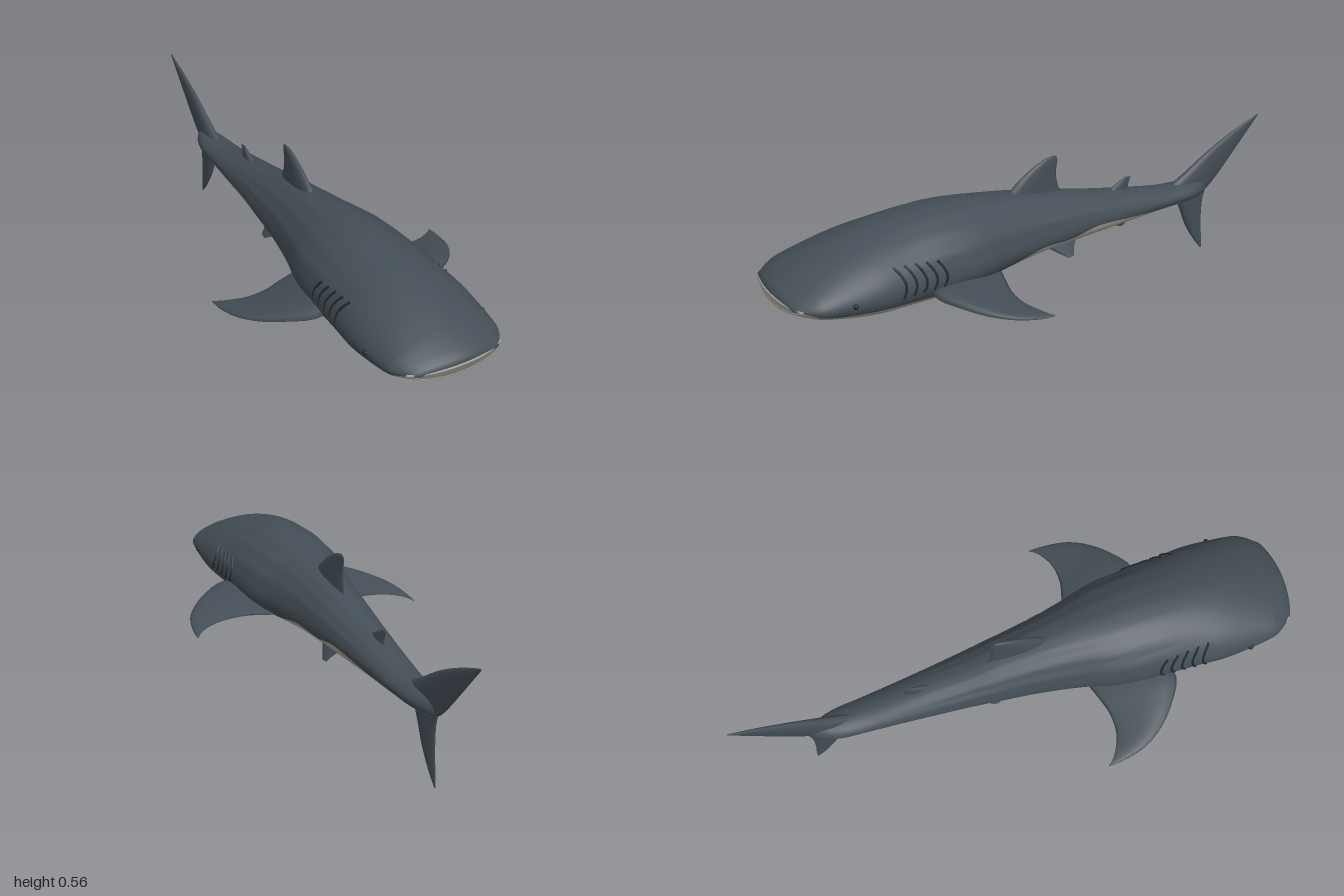
import * as THREE from 'three';

const mat = (name, color, side = THREE.FrontSide) =>
  Object.assign(new THREE.MeshStandardMaterial({ color, side }), { name });

// Body stations: z, half width, top, bottom, height of widest point, height of colour border
const STATIONS = [
  [-0.75, 0.008, 0.29, 0.24, 0.265, 0.242],
  [-0.71, 0.035, 0.305, 0.236, 0.27, 0.245],
  [-0.65, 0.054, 0.308, 0.235, 0.272, 0.25],
  [-0.55, 0.063, 0.315, 0.234, 0.277, 0.253],
  [-0.4, 0.076, 0.345, 0.23, 0.287, 0.265],
  [-0.2, 0.096, 0.388, 0.225, 0.3, 0.288],
  [-0.08, 0.11, 0.42, 0.225, 0.303, 0.272],
  [0.05, 0.127, 0.448, 0.223, 0.306, 0.282],
  [0.2, 0.155, 0.475, 0.21, 0.31, 0.25],
  [0.32, 0.188, 0.49, 0.203, 0.315, 0.245],
  [0.45, 0.203, 0.498, 0.198, 0.32, 0.262],
  [0.6, 0.212, 0.488, 0.205, 0.325, 0.275],
  [0.7, 0.22, 0.474, 0.214, 0.328, 0.287],
  [0.8, 0.215, 0.45, 0.235, 0.33, 0.298],
  [0.9, 0.203, 0.415, 0.268, 0.333, 0.314],
  [0.96, 0.185, 0.388, 0.292, 0.335, 0.328],
  [0.988, 0.164, 0.371, 0.307, 0.335, 0.335],
  [1.0, 0.15, 0.358, 0.315, 0.335, 0.337],
];

// Smooth interpolation between the stations
function station(z) {
  const S = STATIONS, n = S.length;
  let i = 0;
  while (i < n - 2 && z > S[i + 1][0]) i++;
  const a = S[i], b = S[i + 1], p = S[Math.max(i - 1, 0)], q = S[Math.min(i + 2, n - 1)];
  const h = b[0] - a[0], t = (z - a[0]) / h;
  return a.map((v, c) => {
    if (c === 0) return z;
    const m0 = (b[c] - p[c]) / (b[0] - p[0]) * h, m1 = (q[c] - v) / (q[0] - a[0]) * h;
    return v * (1 + 2 * t) * (1 - t) ** 2 + m0 * t * (1 - t) ** 2 + b[c] * t * t * (3 - 2 * t) + m1 * t * t * (t - 1);
  });
}

const spow = (v, e) => Math.sign(v) * Math.abs(v) ** e;

// Point on the skin at an angle around the section, with soft ridges along the back
function skin([z, hw, top, bot, mid], angle) {
  const c = Math.cos(angle), s = Math.sin(angle), e = s > 0 ? 2 / 1.8 : 1;
  const fold = Math.asin(Math.min(1, Math.max(-1, s)));
  const fade = THREE.MathUtils.smoothstep(z, -0.6, -0.1) * (1 - THREE.MathUtils.smoothstep(z, 0.35, 0.7));
  let bump = 1;
  for (const r of [0.5, 0.85, 1.2]) bump += 0.035 * fade * Math.exp(-(((fold - r) / 0.08) ** 2));
  const x = hw * spow(c, e) * bump;
  const y = mid + (s > 0 ? top - mid : mid - bot) * spow(s, e) * (s > 0 ? 1 + (bump - 1) * 0.6 : 1);
  return new THREE.Vector3(x, y, z - 1.1 * x * x * THREE.MathUtils.smoothstep(z, 0.88, 1));
}

// Closed rings joined into a skin; columns before and after split form two groups
function loft(rings, split) {
  const n = rings[0].length, pos = [], idx = [];
  rings.forEach(r => r.forEach(p => pos.push(p.x, p.y, p.z)));
  for (let k = 0; k < n; k++) {
    for (let i = 0; i < rings.length - 1; i++) {
      const a = i * n + k, b = i * n + (k + 1) % n;
      idx.push(a, b, a + n, b, b + n, a + n);
    }
  }
  // Turn the faces outward
  const mean = new THREE.Vector3();
  rings.flat().forEach(p => mean.add(p));
  mean.divideScalar(rings.length * n);
  const at = i => new THREE.Vector3().fromArray(pos, i * 3).sub(mean);
  let volume = 0;
  for (let i = 0; i < idx.length; i += 3) volume += at(idx[i]).dot(at(idx[i + 1]).cross(at(idx[i + 2])));
  if (volume < 0) for (let i = 0; i < idx.length; i += 3) [idx[i], idx[i + 1]] = [idx[i + 1], idx[i]];
  const g = new THREE.BufferGeometry();
  g.setAttribute('position', new THREE.Float32BufferAttribute(pos, 3));
  g.setIndex(idx);
  if (split) {
    const cut = split * (rings.length - 1) * 6;
    g.addGroup(0, cut, 0);
    g.addGroup(cut, idx.length - cut, 1);
  }
  g.computeVertexNormals();
  return g;
}

// Fin from sections [leading point, trailing point, thickness], thickened along an axis
function fin(sections, axis, side = 1) {
  const v = a => new THREE.Vector3(a[0] * side, a[1], a[2]);
  const lead = new THREE.CatmullRomCurve3(sections.map(s => v(s[0])));
  const trail = new THREE.CatmullRomCurve3(sections.map(s => v(s[1])));
  const n = v(axis).normalize(), steps = 18, around = 16, rings = [];
  for (let i = 0; i <= steps; i++) {
    const t = i / steps, f = t * (sections.length - 1), j = Math.min(Math.floor(f), sections.length - 2);
    const thick = THREE.MathUtils.lerp(sections[j][2], sections[j + 1][2], f - j);
    const a = lead.getPoint(t), b = trail.getPoint(t), ring = [];
    for (let k = 0; k < around; k++) {
      const phi = k / around * Math.PI * 2, u = (1 - Math.cos(phi)) / 2;
      ring.push(a.clone().lerp(b, u).addScaledVector(n, thick * Math.sin(phi) * (0.75 - 0.5 * u)));
    }
    rings.push(ring);
  }
  return loft(rings, around / 2);
}

export function createModel() {
  const model = new THREE.Group();
  const back = mat('slate back', 0x444e56);
  const belly = mat('pale belly', 0xa6a396);
  const under = mat('fin underside', 0x5b5d5b);
  const slit = mat('dark slit', 0x23292e);
  const inside = mat('mouth interior', 0x6a6862, THREE.DoubleSide);
  const add = (name, geometry, material) => {
    const m = new THREE.Mesh(geometry, material);
    m.name = name;
    model.add(m);
    return m;
  };

  // Body with dark back and pale belly, ending in a lip ring
  const D = 44, L = 24, rings = [];
  const ringOf = s => {
    const f = (s[5] - s[4]) / (s[5] > s[4] ? s[2] - s[4] : s[4] - s[3]);
    const t = Math.asin(Math.max(-1, Math.min(1, spow(f, f > 0 ? 0.9 : 1))));
    const ring = [];
    for (let k = 0; k < D; k++) ring.push(skin(s, t + (Math.PI - 2 * t) * k / D));
    for (let k = 0; k < L; k++) ring.push(skin(s, Math.PI - t + (Math.PI + 2 * t) * k / L));
    return ring;
  };
  for (let i = 0; i <= 72; i++) rings.push(ringOf(station(-0.75 + 1.65 * i / 72)));
  for (let i = 1; i <= 12; i++) rings.push(ringOf(station(0.9 + 0.1 * i / 12)));
  const lip = [0.998, 0.142, 0.345, 0.32, 0.333, 0.335];
  rings.push(ringOf(lip));
  add('body', loft(rings, D), [back, belly]);

  // Wide mouth pocket and pale upper lip
  const pocket = [lip, [0.95, 0.13, 0.346, 0.318, 0.333, 0.335], [0.88, 0.1, 0.342, 0.323, 0.333, 0.335],
    [0.86, 0.002, 0.334, 0.332, 0.333, 0.333]].map(ringOf);
  add('mouth', loft(pocket), inside);
  const lipPath = [];
  for (let i = -8; i <= 8; i++) {
    const x = i / 8 * 0.17;
    lipPath.push(new THREE.Vector3(x, 0.346 - 0.3 * x * x, 0.999 - 1.1 * x * x - 25 * x ** 4 * 0.6));
  }
  add('upperLip', new THREE.TubeGeometry(new THREE.CatmullRomCurve3(lipPath), 40, 0.004, 6), belly);

  // Tail fin lobes
  const X = [1, 0, 0];
  add('upperTailLobe', fin([
    [[0, 0.29, -0.56], [0, 0.235, -0.735], 0.04],
    [[0, 0.335, -0.645], [0, 0.262, -0.778], 0.036],
    [[0, 0.41, -0.77], [0, 0.318, -0.835], 0.024],
    [[0, 0.468, -0.895], [0, 0.41, -0.918], 0.014],
    [[0, 0.505, -0.995], [0, 0.502, -1], 0.003]], X), back);
  add('lowerTailLobe', fin([
    [[0, 0.27, -0.6], [0, 0.275, -0.77], 0.036],
    [[0, 0.21, -0.635], [0, 0.215, -0.75], 0.034],
    [[0, 0.12, -0.672], [0, 0.12, -0.748], 0.024],
    [[0, 0.045, -0.718], [0, 0.045, -0.755], 0.014],
    [[0, 0.001, -0.752], [0, 0, -0.758], 0.003]], X), back);

  // Fins on the midline
  add('dorsalFin', fin([
    [[0, 0.43, 0.14], [0, 0.39, -0.11], 0.04],
    [[0, 0.475, 0.095], [0, 0.435, -0.09], 0.032],
    [[0, 0.52, 0.03], [0, 0.49, -0.08], 0.022],
    [[0, 0.55, -0.035], [0, 0.535, -0.086], 0.012],
    [[0, 0.556, -0.07], [0, 0.552, -0.083], 0.003]], X), back);
  add('secondDorsalFin', fin([
    [[0, 0.345, -0.28], [0, 0.325, -0.405], 0.024],
    [[0, 0.375, -0.34], [0, 0.36, -0.395], 0.016],
    [[0, 0.397, -0.38], [0, 0.393, -0.405], 0.004]], X), back);
  add('analFin', fin([
    [[0, 0.25, -0.29], [0, 0.245, -0.4], 0.024],
    [[0, 0.222, -0.325], [0, 0.222, -0.39], 0.016],
    [[0, 0.2, -0.362], [0, 0.203, -0.385], 0.004]], X), back);

  for (const side of [1, -1]) {
    const label = side > 0 ? 'left' : 'right';
    // Swept pectoral fin
    add(label + 'PectoralFin', fin([
      [[0.12, 0.285, 0.5], [0.12, 0.25, 0.22], 0.05],
      [[0.22, 0.287, 0.525], [0.21, 0.252, 0.25], 0.044],
      [[0.3, 0.275, 0.48], [0.27, 0.247, 0.265], 0.034],
      [[0.365, 0.258, 0.42], [0.335, 0.241, 0.262], 0.024],
      [[0.412, 0.242, 0.345], [0.385, 0.235, 0.242], 0.015],
      [[0.431, 0.226, 0.26], [0.42, 0.226, 0.216], 0.008],
      [[0.434, 0.22, 0.205], [0.432, 0.22, 0.2], 0.002]], [0, 1, 0], side), [back, under]);
    // Small pelvic fin
    add(label + 'PelvicFin', fin([
      [[0.035, 0.25, 0.01], [0.035, 0.24, -0.15], 0.024],
      [[0.058, 0.215, -0.04], [0.055, 0.215, -0.125], 0.015],
      [[0.08, 0.185, -0.085], [0.077, 0.188, -0.11], 0.003]], [1, 0.6, 0], side), [back, under]);
    // Five gill slits
    for (let i = 0; i < 5; i++) {
      const path = [];
      for (let k = 0; k <= 8; k++) {
        const t = k / 8, a = -0.12 + t * (0.72 - 0.03 * i);
        const p = skin(station(0.635 - i * 0.038 - 0.02 * Math.sin(t * Math.PI) + 0.012 * t), a);
        path.push(new THREE.Vector3(p.x * side, p.y, p.z));
      }
      add(label + 'GillSlit' + (i + 1), new THREE.TubeGeometry(new THREE.CatmullRomCurve3(path), 20, 0.0045, 6), slit);
    }
    // Small eye
    const eye = add(label + 'Eye', new THREE.SphereGeometry(0.009, 12, 8), slit);
    const e = skin(station(0.8), 0.06);
    eye.position.set(e.x * side, e.y, e.z);
  }
  return model;
}
